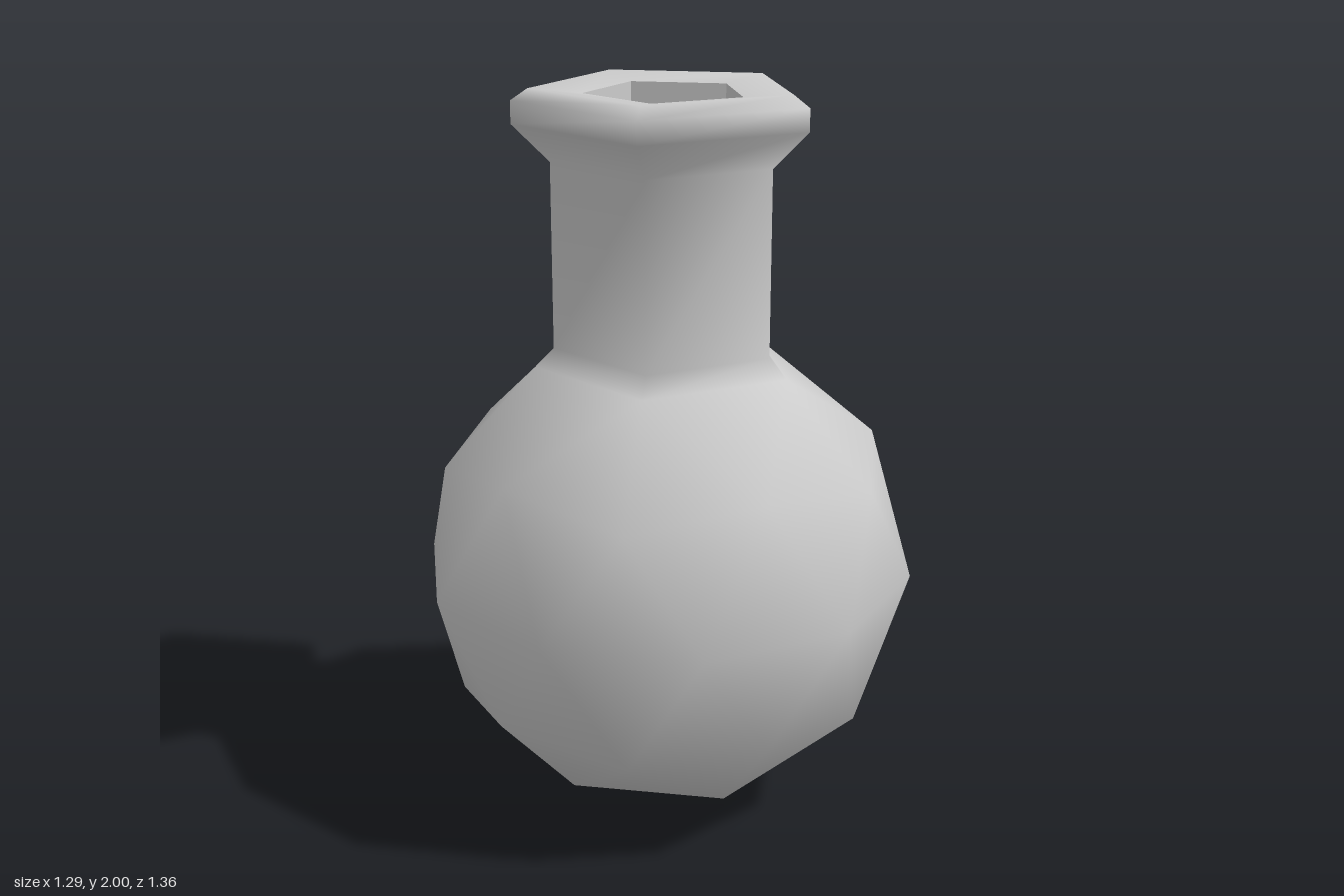
import * as THREE from 'three';
import { mergeGeometries, mergeVertices } from 'three/addons/utils/BufferGeometryUtils.js';

const R = 0.68;      // bulb radius
const SIDES = 5;     // neck and lip are pentagonal

// Surface through pentagon rings given as [radius, height] (non-indexed).
function loft(profile) {
  const point = ([r, y], i) => {
    const a = (i / SIDES) * Math.PI * 2;
    return [r * Math.cos(a), y, -r * Math.sin(a)];
  };
  const pos = [];
  for (let k = 0; k < profile.length - 1; k++) {
    for (let i = 0; i < SIDES; i++) {
      const a = point(profile[k], i), b = point(profile[k], i + 1);
      const c = point(profile[k + 1], i + 1), d = point(profile[k + 1], i);
      pos.push(...a, ...b, ...c);
      if (profile[k + 1][0] > 0) pos.push(...a, ...c, ...d);
    }
  }
  const g = new THREE.BufferGeometry();
  g.setAttribute('position', new THREE.Float32BufferAttribute(pos, 3));
  return g;
}

// Faceted ball standing on one vertex, with the faces around its top vertex removed.
function openBulb() {
  const ball = new THREE.IcosahedronGeometry(R, 1);
  ball.rotateZ(Math.atan2(1, (1 + Math.sqrt(5)) / 2));
  ball.rotateY(Math.PI);
  ball.translate(0, R, 0);
  const p = ball.getAttribute('position').array;
  const kept = [];
  for (let t = 0; t < p.length; t += 9) {
    if (Math.max(p[t + 1], p[t + 4], p[t + 7]) < 2 * R - 0.01) kept.push(...p.slice(t, t + 9));
  }
  const g = new THREE.BufferGeometry();
  g.setAttribute('position', new THREE.Float32BufferAttribute(kept, 3));
  return g;
}

export function createModel() {
  const group = new THREE.Group();
  group.name = 'flask';

  // Bulb, neck and rolled lip share one smooth skin.
  const skin = mergeVertices(mergeGeometries([
    openBulb(),
    loft([
      [R * 0.5257, R * 1.8507], // rim of the bulb opening
      [0.306, 1.31],
      [0.306, 1.81],
      [0.405, 1.91],
      [0.405, 1.97],
      [0.36, 2.0],
      [0.22, 1.985],
    ]),
  ]), 1e-3);
  skin.computeVertexNormals();
  const body = new THREE.Mesh(skin, new THREE.MeshStandardMaterial({ color: 0xcccccc }));
  body.name = 'bulbNeckAndLip';
  group.add(body);

  // Recess inside the mouth with a flat floor.
  const recess = loft([[0.22, 1.985], [0.22, 1.87], [0, 1.87]]);
  recess.computeVertexNormals();
  const mouth = new THREE.Mesh(recess, new THREE.MeshStandardMaterial({ color: 0xcccccc, flatShading: true }));
  mouth.name = 'mouthRecess';
  group.add(mouth);

  return group;
}
